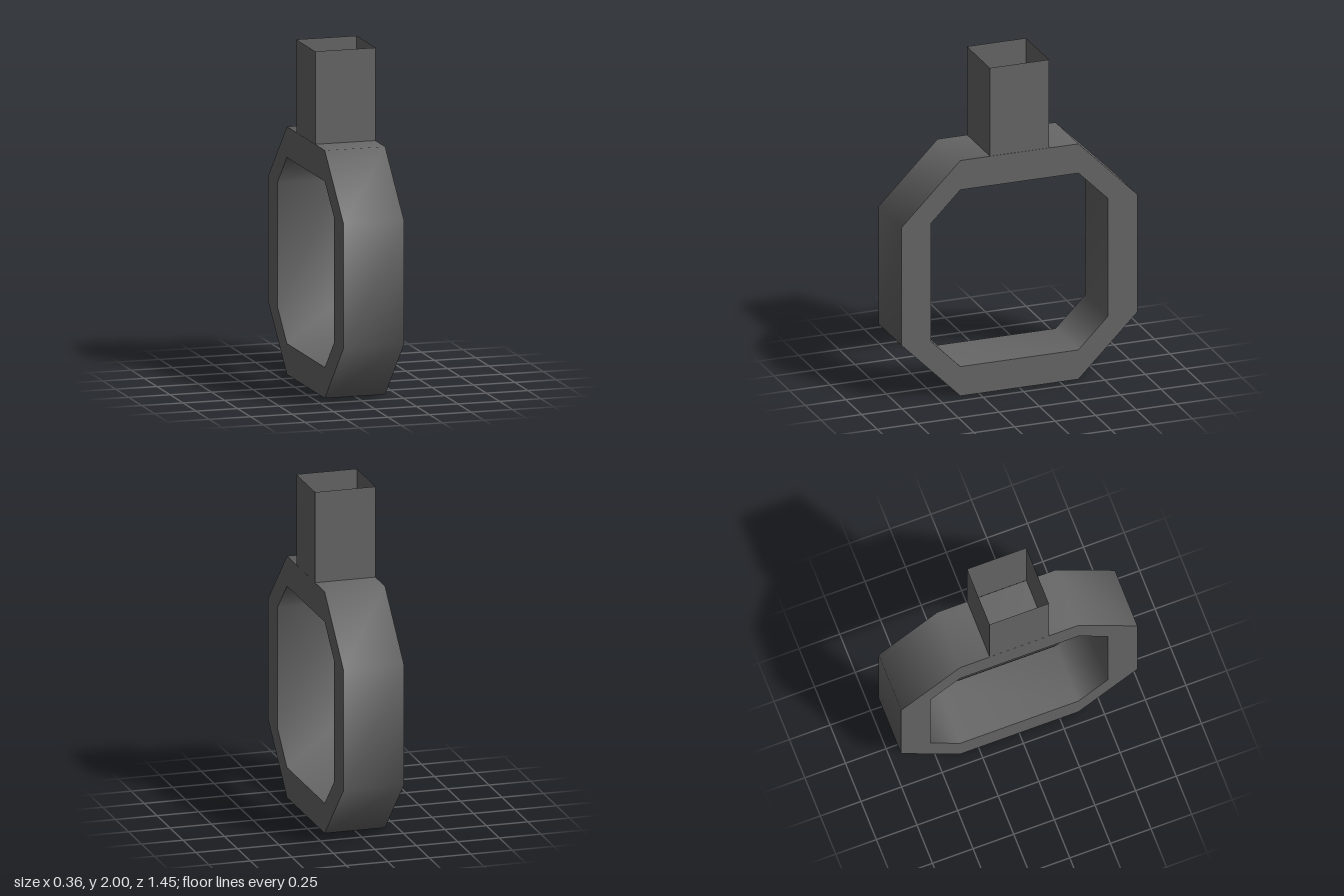
import * as THREE from 'three';

const HALF = 0.182; // half width of ring and socket
const CENTER = 0.727; // height of the ring's centre
const TOP = 1.455; // where the socket meets the ring

// Eight corners as (z, y), counter-clockwise, flats `r` from the centre
function octagon(r) {
  const c = 0.364;
  return [[c, r], [-c, r], [-r, c], [-r, -c], [-c, -r], [c, -r], [r, -c], [r, c]]
    .map(([z, y]) => new THREE.Vector2(z, y + CENTER));
}

// Smooth strip that follows a closed outline across the width
function band(points) {
  const pos = [], index = [], n = points.length;
  points.forEach((p, i) => {
    pos.push(-HALF, p.y, p.x, HALF, p.y, p.x);
    const a = 2 * i, d = 2 * ((i + 1) % n);
    index.push(a, a + 1, d + 1, a, d + 1, d);
  });
  const g = new THREE.BufferGeometry();
  g.setAttribute('position', new THREE.Float32BufferAttribute(pos, 3));
  g.setIndex(index);
  g.computeVertexNormals();
  return g;
}

export function createModel() {
  const model = new THREE.Group();
  model.name = 'ringWithSocket';
  const grey = new THREE.MeshStandardMaterial({ color: 0x666666, side: THREE.DoubleSide });
  grey.name = 'darkGrey';

  const add = (name, geometry, parent) => {
    const mesh = new THREE.Mesh(geometry, grey);
    mesh.name = name;
    parent.add(mesh);
    return mesh;
  };

  // Octagonal ring: outer and inner bands closed by two flat sides
  const ring = new THREE.Group();
  ring.name = 'ring';
  model.add(ring);
  const outer = octagon(0.727), inner = octagon(0.546);
  add('outerBand', band(outer), ring);
  add('innerBand', band([...inner].reverse()), ring);

  const outline = new THREE.Shape(outer);
  outline.holes.push(new THREE.Path([...inner].reverse()));
  for (const side of [1, -1]) {
    const face = add(side > 0 ? 'leftFace' : 'rightFace', new THREE.ShapeGeometry(outline), ring);
    face.rotation.y = side * Math.PI / 2;
    face.position.x = side * HALF;
  }

  // Square socket, open at the top
  const height = 2 - TOP;
  const walls = new THREE.CylinderGeometry(HALF * Math.SQRT2, HALF * Math.SQRT2, height, 4, 1, true)
    .rotateY(Math.PI / 4).toNonIndexed();
  walls.computeVertexNormals();
  add('socket', walls, model).position.y = TOP + height / 2;

  return model;
}
